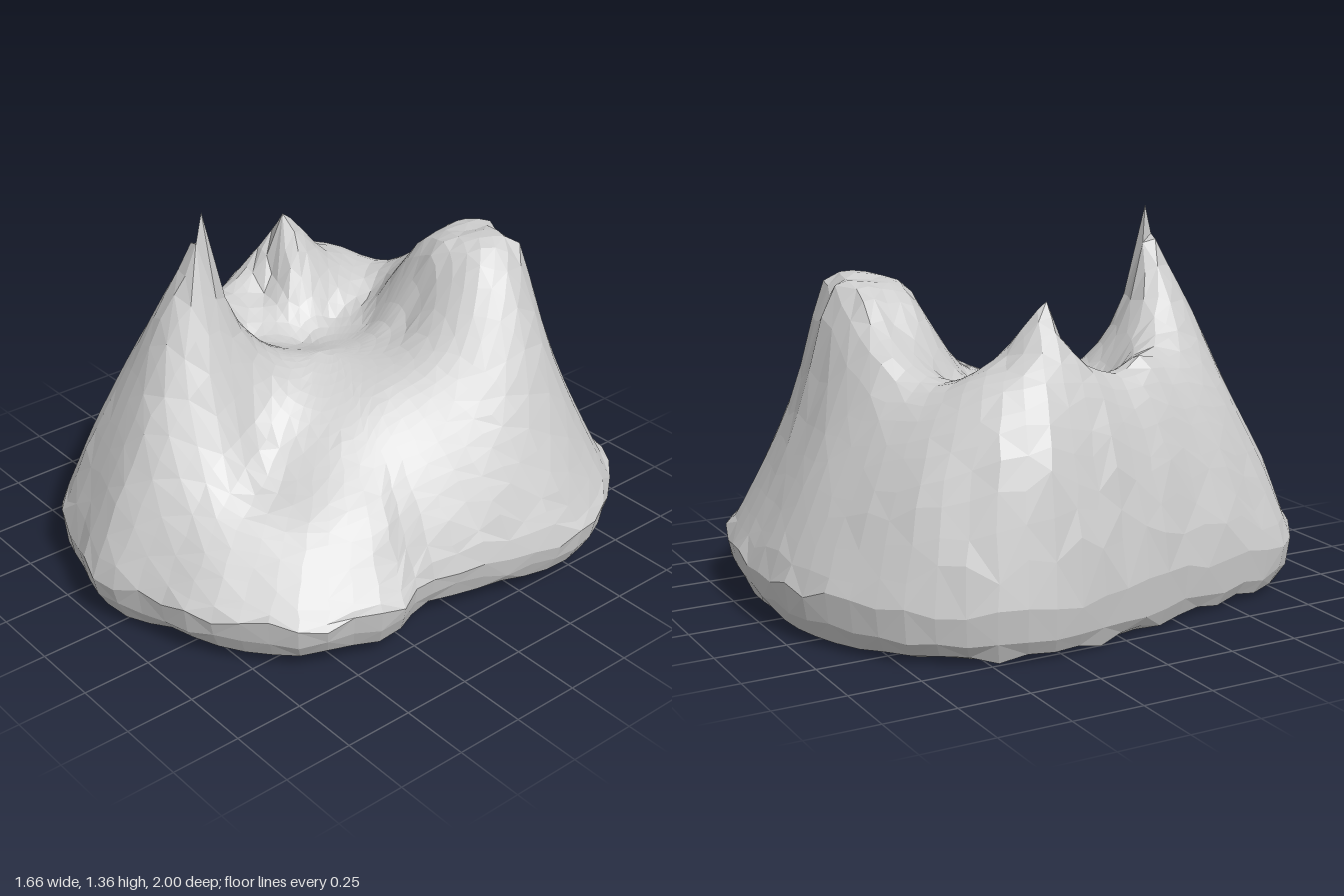
import * as THREE from 'three';

// Footprint at its widest level, as x, z pairs
const OUTLINE = [
  [0.1, -1], [0.35, -0.97], [0.5, -0.93], [0.62, -0.84], [0.78, -0.62], [0.83, -0.45], [0.78, -0.2],
  [0.72, 0], [0.69, 0.15], [0.76, 0.33], [0.72, 0.45], [0.67, 0.62], [0.5, 0.77], [0.35, 0.87],
  [0.15, 0.93], [-0.05, 1], [-0.25, 0.94], [-0.45, 0.88], [-0.58, 0.78], [-0.64, 0.6], [-0.7, 0.3],
  [-0.78, 0], [-0.83, -0.3], [-0.8, -0.47], [-0.65, -0.73], [-0.5, -0.85], [-0.25, -0.97],
];
const EDGE_Y = 0.19;

// Flank heights for each outline point, at 0.9 and 0.75 of the footprint
const LOWER_FLANK = [
  0.38, 0.38, 0.38, 0.4, 0.38, 0.37, 0.39, 0.35, 0.33, 0.25, 0.27, 0.26, 0.28, 0.31,
  0.36, 0.42, 0.45, 0.45, 0.43, 0.48, 0.55, 0.6, 0.62, 0.6, 0.52, 0.47, 0.42,
];
const UPPER_FLANK = [
  0.72, 0.7, 0.72, 0.75, 0.68, 0.6, 0.56, 0.51, 0.48, 0.43, 0.41, 0.4, 0.42, 0.45,
  0.55, 0.7, 0.77, 0.73, 0.72, 0.75, 0.79, 0.82, 0.85, 0.83, 0.75, 0.71, 0.68,
];

// Landmarks of the crown, as x, z, height
const FRONT_SPIKE = [
  [-0.14, 0.44, 1.36], [-0.16, 0.5, 1.18], [-0.14, 0.37, 1.02], [-0.06, 0.44, 1.02], [-0.3, 0.42, 1.0],
  [-0.14, 0.6, 1.02], [0.03, 0.4, 0.8], [0.12, 0.42, 0.6], [0.09, 0.18, 0.71], [0, 0.05, 0.76],
];
const SIDE_SPIKE = [
  [-0.42, -0.12, 1.1], [-0.34, -0.11, 0.97], [-0.49, -0.14, 1.02], [-0.41, -0.18, 1.05], [-0.4, -0.04, 0.82],
  [-0.46, -0.27, 0.92], [-0.48, -0.42, 0.87], [-0.49, 0.06, 0.86], [-0.44, 0.24, 0.89],
];
const BACK_MOUND = [
  [0, -0.6, 1.08], [0.31, -0.62, 1.11], [0.31, -0.4, 1.08], [0.02, -0.4, 1.07], [0.12, -0.67, 1.1],
  [0.15, -0.35, 1.09], [0.15, -0.52, 1.11], [0.15, -0.29, 0.94], [0.15, -0.22, 0.83], [0.42, -0.5, 1.0],
  [0.53, -0.5, 0.82], [0.42, -0.22, 0.79], [-0.06, -0.5, 0.98], [-0.05, -0.36, 0.95], [-0.16, -0.62, 0.92],
];
const VALLEY = [
  [-0.27, 0.18, 0.72], [-0.16, 0, 0.71], [-0.2, -0.17, 0.75], [-0.04, -0.21, 0.77], [-0.17, -0.34, 0.78],
  [-0.3, -0.42, 0.83], [0.3, 0, 0.71], [0.32, 0.22, 0.6], [0.25, 0.48, 0.48],
];

// Surface passing through every landmark: a sum of cones, weights by elimination
function heightField(pts) {
  const n = pts.length;
  const dist = (p, x, z) => Math.hypot(p[0] - x, p[1] - z);
  const m = pts.map((p) => [...pts.map((q) => dist(q, p[0], p[1])), p[2]]);
  for (let c = 0; c < n; c++) {
    let best = c;
    for (let r = c + 1; r < n; r++) if (Math.abs(m[r][c]) > Math.abs(m[best][c])) best = r;
    [m[c], m[best]] = [m[best], m[c]];
    for (let r = 0; r < n; r++) {
      if (r === c) continue;
      const f = m[r][c] / m[c][c];
      for (let k = c; k <= n; k++) m[r][k] -= f * m[c][k];
    }
  }
  const w = m.map((row, i) => row[n] / row[i]);
  return (x, z) => pts.reduce((s, p, i) => s + w[i] * dist(p, x, z), 0);
}

// Small repeatable noise from -1 to 1
const noise = (i, j) => {
  const s = Math.sin(i * 127.1 + j * 311.7) * 43758.5453;
  return 2 * (s - Math.floor(s)) - 1;
};

function shellGeometry() {
  const SEG = 60, TOP = 22;
  const loop = new THREE.CatmullRomCurve3(
    OUTLINE.map(([x, z]) => new THREE.Vector3(x, EDGE_Y, z)), true, 'centripetal');
  const edge = loop.getSpacedPoints(SEG).slice(0, SEG);
  const band = (scale, y) => OUTLINE.map(([x, z], i) => [x * scale, z * scale, y[i]]);
  const height = heightField([
    ...FRONT_SPIKE, ...SIDE_SPIKE, ...BACK_MOUND, ...VALLEY,
    ...band(1, OUTLINE.map(() => EDGE_Y)), ...band(0.9, LOWER_FLANK), ...band(0.75, UPPER_FLANK),
  ]);
  const rows = [];

  // Rim curling under to the open base: scale, height
  const rim = [[0.9, 0.04], [0.95, 0.045], [0.985, 0.1]];
  rim.forEach(([s, y], i) => rows.push(edge.map((p, j) =>
    new THREE.Vector3(p.x * s, y + 0.03 * p.x + 0.014 * noise(i, j), p.z * s))));

  // Upper surface, from the widest level in to the middle
  for (let i = 0; i <= TOP; i++) {
    const s = 1 - Math.pow(i / TOP, 1.15);
    rows.push(edge.map((p, j) => {
      const k = i && i < TOP ? 0.009 * s : 0;
      const x = p.x * s + k * noise(i, j), z = p.z * s + k * noise(j, i + 50);
      const y = i ? height(x, z) : EDGE_Y + 0.025 * noise(j, 7);
      return new THREE.Vector3(x, y, z);
    }));
  }

  // Bring the nearest vertices onto the spike tips
  const inner = rows.slice(rim.length + 1, -1).flat();
  [FRONT_SPIKE[0], SIDE_SPIKE[0]].forEach(([x, z, y]) => {
    const d = (v) => Math.hypot(v.x - x, v.z - z);
    inner.reduce((a, b) => (d(b) < d(a) ? b : a)).set(x, y, z);
  });

  const index = [];
  for (let i = 0; i < rows.length - 1; i++) {
    for (let j = 0; j < SEG; j++) {
      const k = (j + 1) % SEG;
      const a = i * SEG + j, b = i * SEG + k, c = b + SEG, d = a + SEG;
      if (i === rows.length - 2) index.push(a, d, b);
      else if ((i + j) % 2) index.push(a, d, c, a, c, b);
      else index.push(a, d, b, b, d, c);
    }
  }
  const geo = new THREE.BufferGeometry().setFromPoints(rows.flat());
  geo.setIndex(index);
  geo.computeVertexNormals();
  return geo;
}

export function createModel() {
  const group = new THREE.Group();
  group.name = 'brokenRock';
  const shell = new THREE.Mesh(shellGeometry(), new THREE.MeshStandardMaterial({
    color: 0xcccccc, flatShading: true, side: THREE.DoubleSide,
  }));
  shell.name = 'rockShell';
  group.add(shell);
  return group;
}
